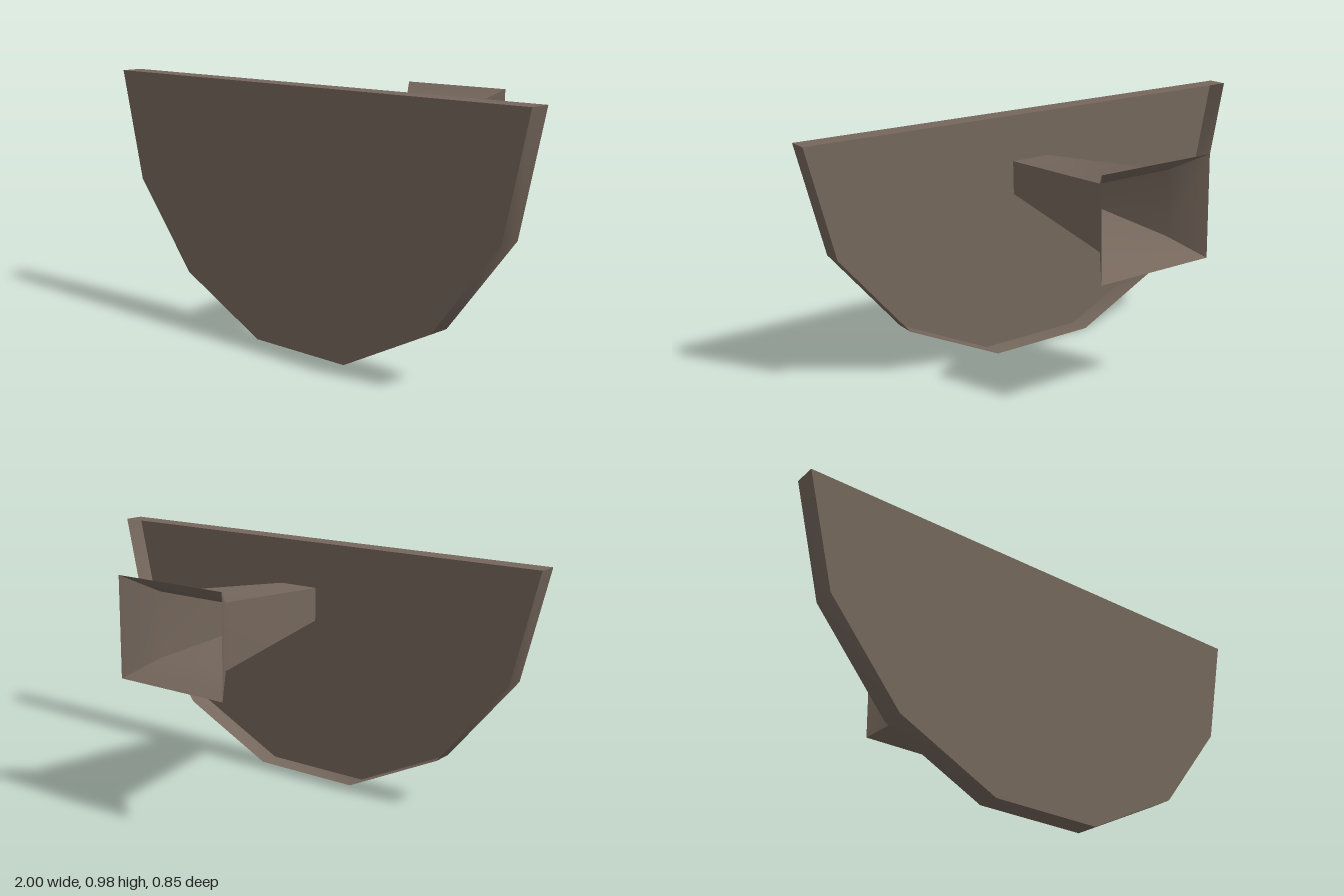
import * as THREE from 'three';
import { toCreasedNormals } from 'three/addons/utils/BufferGeometryUtils.js';

// Open skin through rings of [x, y], counterclockwise from +z, ordered from back to front
function loft(sections) {
  const pos = [];
  for (let s = 0; s < sections.length - 1; s++) {
    const a = sections[s], b = sections[s + 1], n = a.ring.length;
    for (let i = 0; i < n; i++) {
      const j = (i + 1) % n;
      const corners = [
        [a, i], [a, j], [b, j],
        [a, i], [b, j], [b, i],
      ];
      for (const [sec, k] of corners) pos.push(...sec.ring[k], sec.z);
    }
  }
  const geo = new THREE.BufferGeometry();
  geo.setAttribute('position', new THREE.Float32BufferAttribute(pos, 3));
  return toCreasedNormals(geo, THREE.MathUtils.degToRad(32));
}

const rectangle = (x0, x1, y0, y1) => [[x0, y0], [x1, y0], [x1, y1], [x0, y1]];

export function createModel() {
  const group = new THREE.Group();
  const brown = new THREE.MeshStandardMaterial({ color: 0x75675c, side: THREE.DoubleSide });
  brown.name = 'dull brown';

  const add = (name, geometry) => {
    const mesh = new THREE.Mesh(geometry, brown);
    mesh.name = name;
    group.add(mesh);
    return mesh;
  };

  // Half-round outline of the shield, mirrored about x = 0
  const half = [[0.225, 0], [0.62, 0.195], [0.9, 0.54], [1, 0.975]];
  const outline = [...half, ...half.map(([x, y]) => [-x, y]).reverse()];
  const front = 0.425, back = 0.34;

  // Front face, with a rim behind it that is open at the back
  const shape = new THREE.Shape(outline.map(([x, y]) => new THREE.Vector2(x, y)));
  add('shieldFace', new THREE.ShapeGeometry(shape)).position.z = front;
  add('shieldRim', loft([{ ring: outline, z: back }, { ring: outline, z: front }]));

  // Hollow square stem, tapered towards the shield and flared at its open rear end
  add('stem', loft([
    { ring: rectangle(-0.2, 0.29, 0.53, 0.92), z: -0.425 },
    { ring: rectangle(-0.11, 0.2, 0.6, 0.85), z: -0.3 },
    { ring: rectangle(-0.04, 0.13, 0.66, 0.793), z: back },
  ]));

  return group;
}
